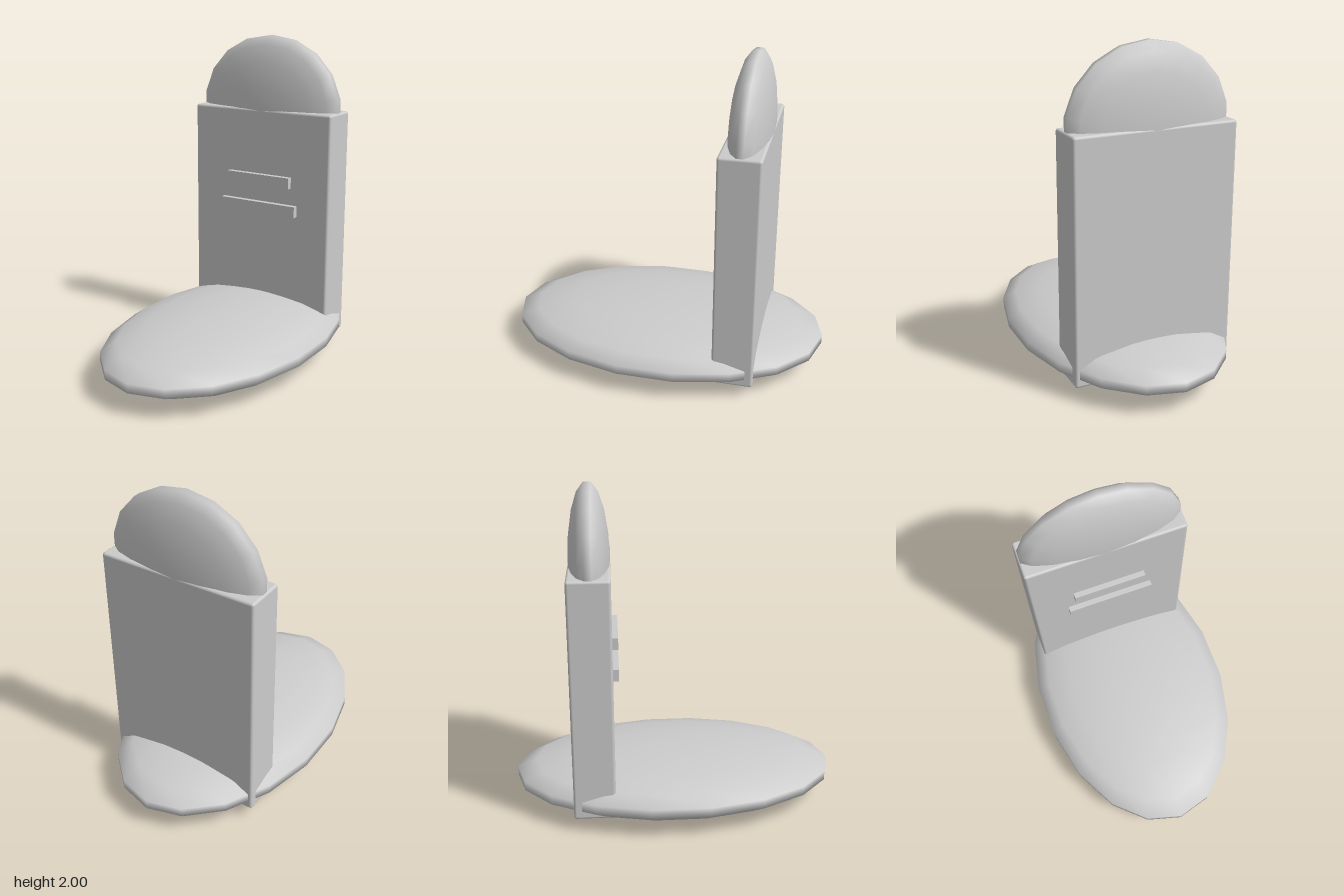
import * as THREE from 'three';
import { RoundedBoxGeometry } from 'three/addons/geometries/RoundedBoxGeometry.js';

const material = new THREE.MeshStandardMaterial({ color: 0xcccccc });

export function createModel() {
  const group = new THREE.Group();

  const add = (name, geometry, x, y, z) => {
    const mesh = new THREE.Mesh(geometry, material);
    mesh.name = name;
    mesh.position.set(x, y, z);
    group.add(mesh);
    return mesh;
  };

  // Flattened sphere: 18 sides with a vertex on the long axis, 9 bands pole to pole
  const cushion = (rx, ry, rz) =>
    new THREE.SphereGeometry(1, 18, 9, Math.PI / 2).scale(rx, ry, rz);

  // Oval base lying flat
  add('base', cushion(0.638, 0.165, 1.013), 0, 0.168, 0);

  // Upright slab with softened edges
  add('backPanel', new RoundedBoxGeometry(1, 1.455, 0.25, 2, 0.016), 0, 0.8125, -0.505);

  // Oval headrest: the same form stood upright and sunk into the slab
  add('headrest', cushion(0.505, 0.125, 0.468).rotateX(Math.PI / 2), 0, 1.54, -0.505);

  // Two raised bars on the front of the slab
  for (const [name, width, y] of [['upperBar', 0.46, 1.087], ['lowerBar', 0.55, 0.905]]) {
    add(name, new THREE.BoxGeometry(width, 0.072, 0.06), 0, y, -0.375);
  }

  return group;
}
